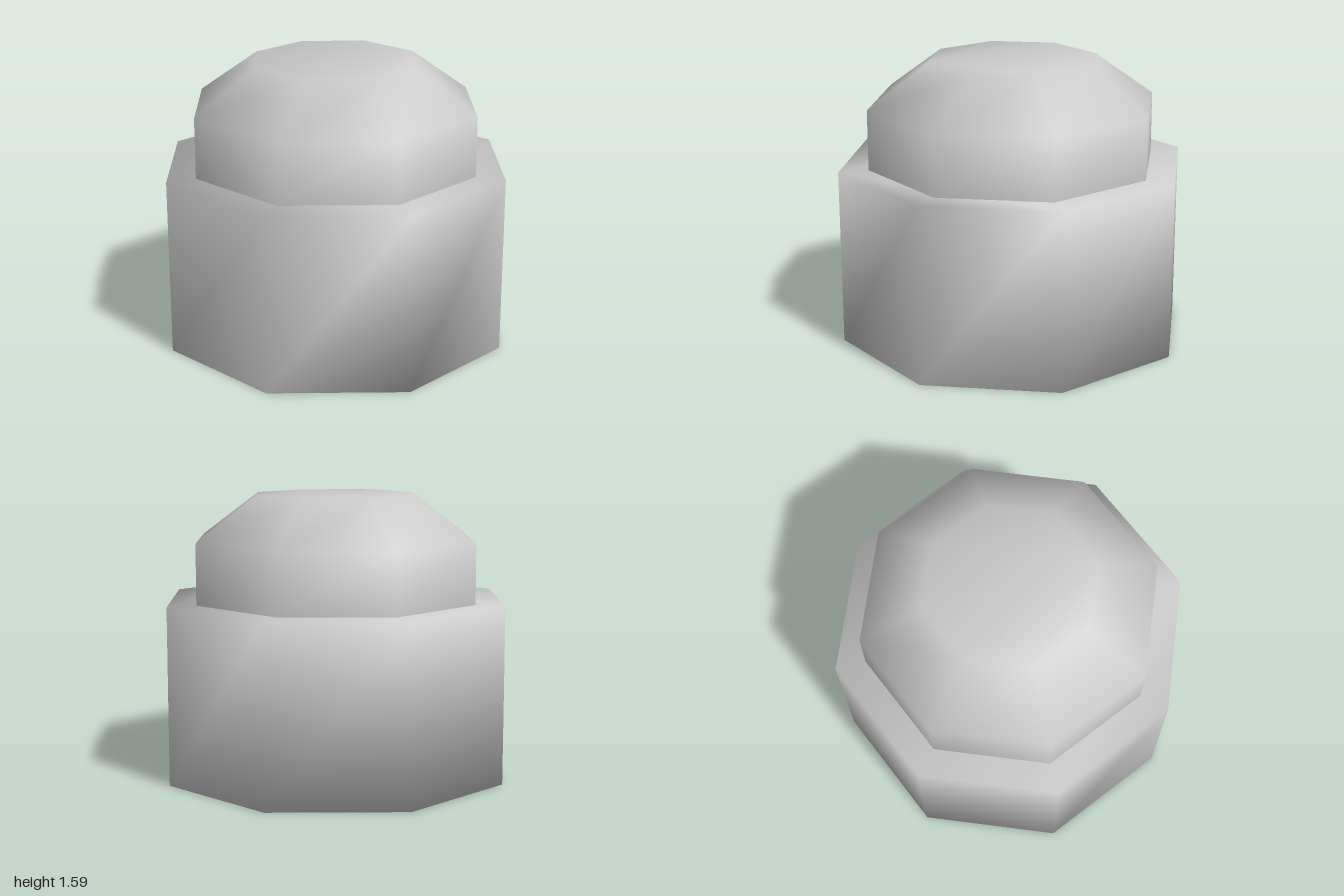
import * as THREE from 'three';

const SIDES = 8;

// Closed or open octagonal solid from [radius, y] rings (bottom to top),
// with shared vertices so the shading runs smoothly over every edge.
function ringSolid(rings, capBottom, capTop) {
  const positions = [];
  const index = [];
  for (const [r, y] of rings) {
    for (let i = 0; i < SIDES; i++) {
      const a = (i / SIDES) * Math.PI * 2;
      positions.push(r * Math.sin(a), y, r * Math.cos(a));
    }
  }
  // Side walls
  for (let k = 0; k < rings.length - 1; k++) {
    for (let i = 0; i < SIDES; i++) {
      const j = (i + 1) % SIDES;
      const a = k * SIDES + i, b = k * SIDES + j;
      index.push(a, b, b + SIDES, a, b + SIDES, a + SIDES);
    }
  }
  // Flat caps
  const top = (rings.length - 1) * SIDES;
  for (let i = 1; i < SIDES - 1; i++) {
    if (capBottom) index.push(0, i + 1, i);
    if (capTop) index.push(top, top + i, top + i + 1);
  }
  const geometry = new THREE.BufferGeometry();
  geometry.setAttribute('position', new THREE.Float32BufferAttribute(positions, 3));
  geometry.setIndex(index);
  geometry.computeVertexNormals();
  return geometry;
}

export function createModel() {
  const group = new THREE.Group();
  const material = new THREE.MeshStandardMaterial({ color: 0xcccccc, side: THREE.DoubleSide });
  const add = (name, geometry) => {
    const mesh = new THREE.Mesh(geometry, material);
    mesh.name = name;
    group.add(mesh);
  };

  // Wide octagonal drum
  add('base', ringSolid([[1, 0], [1, 1]], true, true));
  // Narrower neck with a bevelled lid, standing on the drum
  add('cap', ringSolid([[0.83, 1], [0.83, 1.34], [0.48, 1.59]], false, true));

  return group;
}
